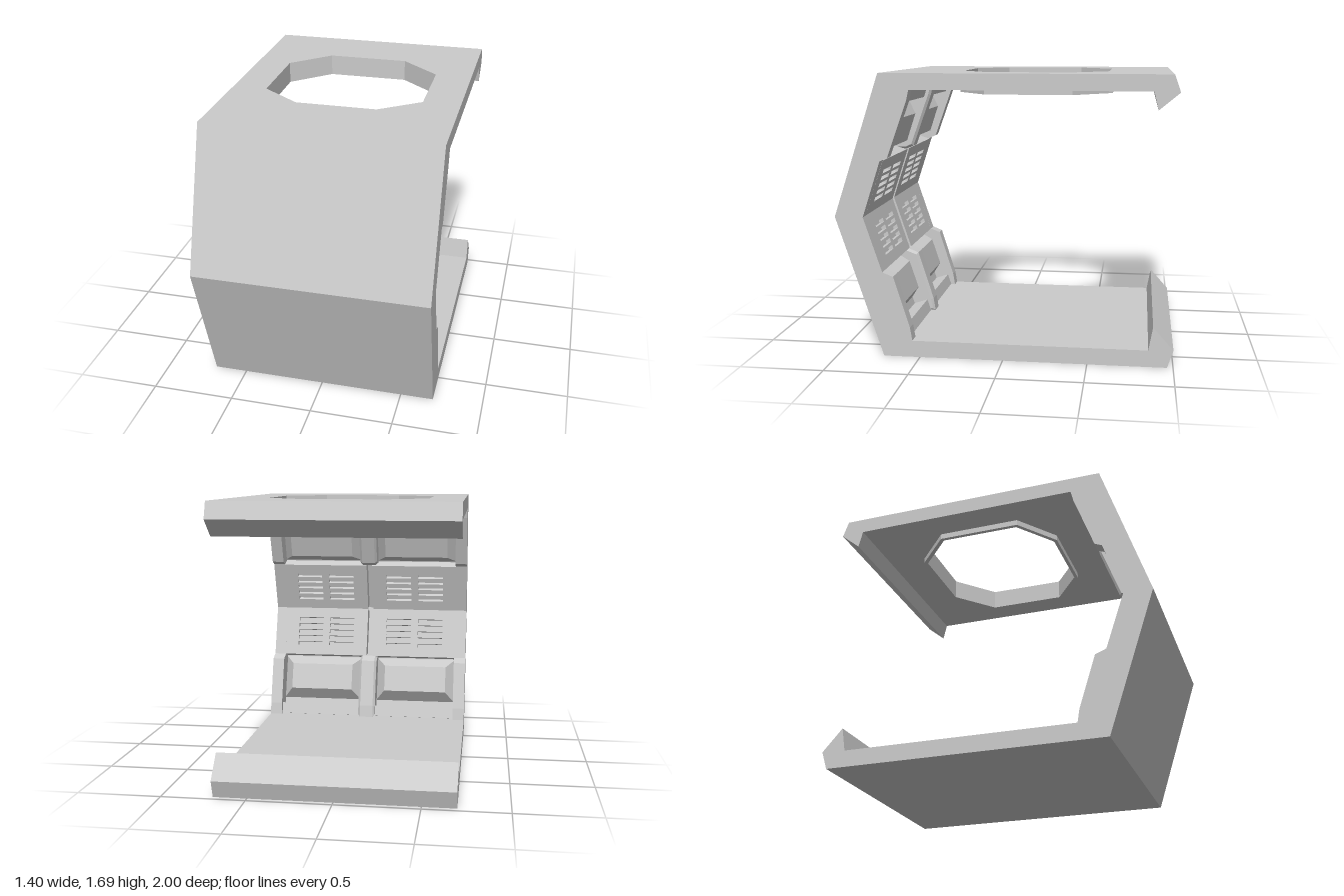
import * as THREE from 'three';

const mat = new THREE.MeshStandardMaterial({ color: 0xcccccc, flatShading: true });
const HALF = 0.7, TOP = 1.69, MID = TOP / 2;

function add(parent, name, geometry) {
  const mesh = new THREE.Mesh(geometry, mat);
  mesh.name = name;
  parent.add(mesh);
  return mesh;
}

const toShape = (pts) => new THREE.Shape(pts.map(([a, b]) => new THREE.Vector2(a, b)));

// Profile of [z, y] points extruded sideways from x0 to x1
function extrudeX(pts, x0, x1, bevel = 0) {
  const g = new THREE.ExtrudeGeometry(toShape(pts), {
    depth: x1 - x0 - 2 * bevel, bevelEnabled: bevel > 0, bevelSegments: 1,
    bevelSize: bevel, bevelThickness: bevel, bevelOffset: -bevel,
  });
  return g.rotateY(-Math.PI / 2).translate(x1 - bevel, 0, 0);
}

// Plan outline of [x, z] points with a hole, extruded down from y
function slab(outline, hole, y, depth) {
  const s = toShape(outline);
  s.holes.push(new THREE.Path(hole.map(([a, b]) => new THREE.Vector2(a, b))));
  return new THREE.ExtrudeGeometry(s, { depth, bevelEnabled: false })
    .rotateX(Math.PI / 2).translate(0, y, 0);
}

function box(x0, x1, y0, y1, z0, z1) {
  return new THREE.BoxGeometry(x1 - x0, y1 - y0, z1 - z0)
    .translate((x0 + x1) / 2, (y0 + y1) / 2, (z0 + z1) / 2);
}

// Box whose front face is drawn in by an inset on every side
function frustum(x0, x1, y0, y1, z0, z1, inset) {
  const g = box(x0, x1, y0, y1, z0, z1), p = g.attributes.position;
  const cx = (x0 + x1) / 2, cy = (y0 + y1) / 2, cz = (z0 + z1) / 2;
  for (let i = 0; i < p.count; i++) {
    if (p.getZ(i) < cz) continue;
    p.setX(i, p.getX(i) - Math.sign(p.getX(i) - cx) * inset);
    p.setY(i, p.getY(i) - Math.sign(p.getY(i) - cy) * inset);
  }
  g.computeVertexNormals();
  return g;
}

// Raised panel with two columns of vent slots
function ventPanel(x0, x1, y0, y1) {
  const s = toShape([[x0, y0], [x1, y0], [x1, y1], [x0, y1]]);
  const cx = (x0 + x1) / 2, cy = (y0 + y1) / 2;
  for (const side of [-1, 1]) {
    for (let i = 0; i < 5; i++) {
      const x = cx + side * 0.115, y = cy + (i - 2) * 0.045;
      s.holes.push(new THREE.Path([[-1, -1], [-1, 1], [1, 1], [1, -1]]
        .map(([a, b]) => new THREE.Vector2(x + a * 0.09, y + b * 0.013))));
    }
  }
  return new THREE.ExtrudeGeometry(s, { depth: 0.03, bevelEnabled: false }).translate(0, 0, -0.03);
}

// Inner fittings of one sloping half of the wall; local y runs up the slope, z points inward
function wallHalf() {
  const half = new THREE.Group();
  half.name = 'wallFittings';
  for (const side of [-1, 1]) {
    const bay = (a, b) => (side > 0 ? [a, b] : [-b, -a]);
    add(half, 'panelBacking', box(...bay(0.02, 0.63), -0.348, 0, -0.09, -0.03));
    add(half, 'ventPanel', ventPanel(...bay(0.02, 0.63), -0.348, 0));
    add(half, 'paddedPanel', frustum(...bay(0.05, 0.63), -0.67, -0.348, -0.09, 0, 0.07));
    add(half, 'baseboard', box(...bay(0.04, 0.64), -0.785, -0.71, -0.1, 0.01));
  }
  const up = new THREE.Vector3(0, 0.845, 0.28).normalize();
  const inward = new THREE.Vector3(0, up.z, -up.y);
  half.quaternion.setFromRotationMatrix(
    new THREE.Matrix4().makeBasis(new THREE.Vector3(-1, 0, 0), up, inward));
  half.position.set(0, 0, 0.83);
  return half;
}

export function createModel() {
  const model = new THREE.Group();
  model.name = 'corridorSection';

  // Floor with rear lip, and the angled outer wall
  add(model, 'floorAndWall', extrudeX([
    [0.72, 0], [1, MID], [0.72, TOP], [0.55, TOP], [0.55, 1.595], [0.668, 1.595], [0.915, MID],
    [0.668, 0.1], [-0.855, 0.1], [-0.88, 0.24], [-1, 0.105], [-0.965, 0],
  ], -HALF, HALF));

  // Ceiling with an octagonal opening, a trim ring below it and a rear lip
  const octagon = [[-0.26, -0.59], [0.235, -0.59], [0.475, -0.375], [0.475, 0.12],
    [0.235, 0.3], [-0.25, 0.3], [-0.49, 0.12], [-0.49, -0.375]];
  const rim = octagon.map(([x, z]) => [-0.008 + (x + 0.008) * 1.05, -0.145 + (z + 0.145) * 1.05]);
  add(model, 'ceiling', slab(
    [[-HALF, -0.855], [HALF, -0.855], [HALF, 0.55], [-HALF, 0.55]], octagon, TOP, 0.095));
  add(model, 'openingTrim', slab(rim, octagon, 1.595, 0.035));
  add(model, 'ceilingLip', extrudeX(
    [[-0.855, TOP], [-0.965, TOP], [-1, 1.59], [-0.88, 1.49], [-0.855, 1.595]], -HALF, HALF));

  // Ribs: full height at both ends, stepped ones in the centre
  const inner = [[0.545, 0.1], [0.558, 0.18], [0.655, 0.49], [0.72, 0.515], [0.83, MID],
    [0.72, 1.18], [0.675, 1.2], [0.555, 1.53], [0.54, 1.595]];
  const endRib = [...inner, [0.69, 1.595], [0.94, MID], [0.69, 0.1]];
  add(model, 'endRib', extrudeX(endRib, 0.62, HALF));
  add(model, 'endRib', extrudeX(endRib, -HALF, -0.62));
  add(model, 'centreRib', extrudeX([...inner.slice(0, 4), [0.82, 0.515], [0.69, 0.1]], -0.06, 0.06, 0.015));
  add(model, 'centreRib', extrudeX([...inner.slice(5), [0.69, 1.595], [0.82, 1.18]], -0.06, 0.06, 0.015));

  // Fittings on the lower slope, and the same turned over for the upper slope
  for (const turn of [0, Math.PI]) {
    const pivot = new THREE.Group();
    pivot.name = turn ? 'upperWall' : 'lowerWall';
    pivot.position.y = MID;
    pivot.rotation.z = turn;
    pivot.add(wallHalf());
    model.add(pivot);
  }
  return model;
}
